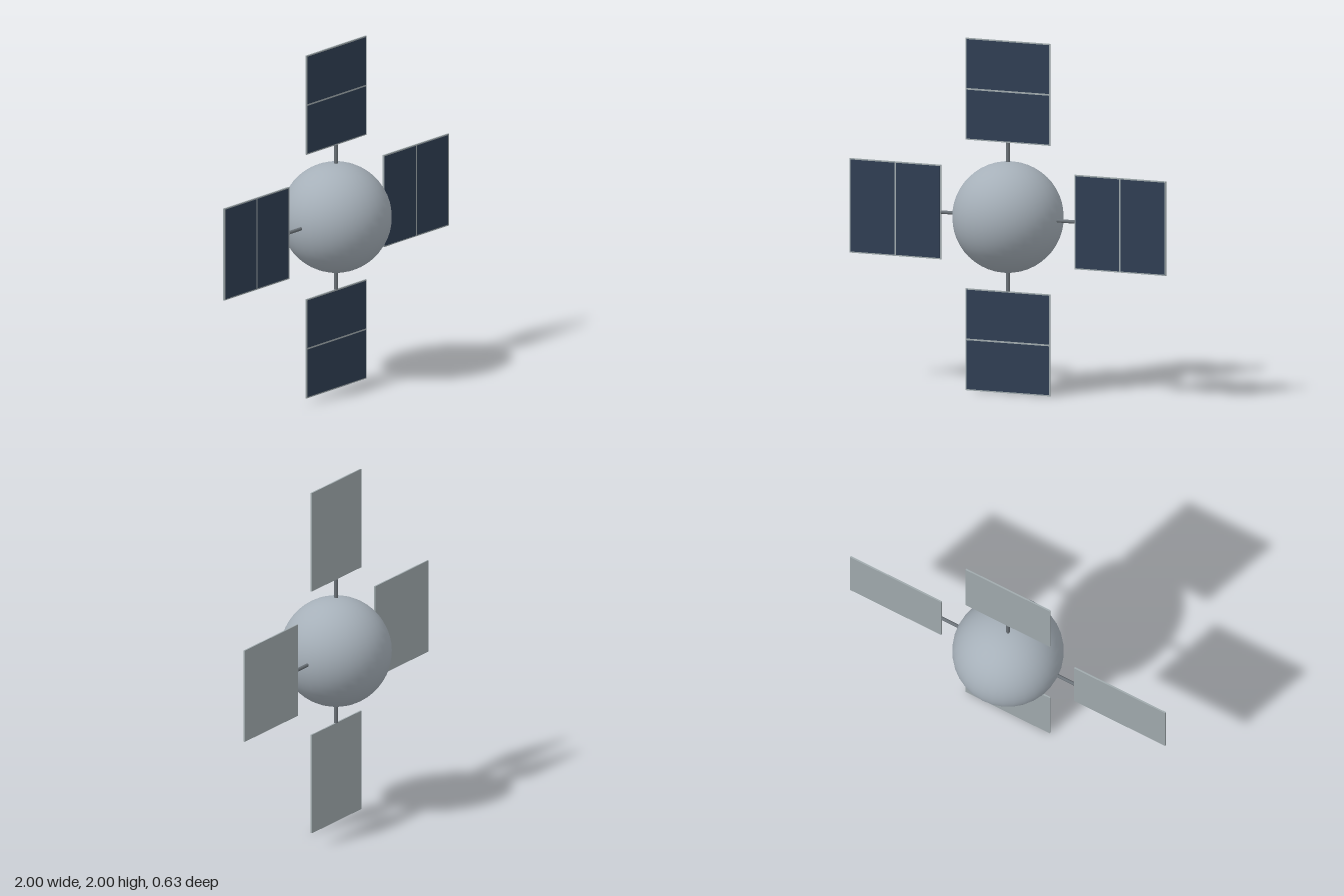
import * as THREE from 'three';

function material(name, color) {
  const m = new THREE.MeshStandardMaterial({ color });
  m.name = name;
  return m;
}

export function createModel() {
  const bodyGrey = material('body grey', 0xa6b0b9);
  const frameGrey = material('frame grey', 0xa0aaad);
  const cellBlue = material('cell blue', 0x2f3e53);
  const rodGrey = material('rod grey', 0x6b7278);

  const model = new THREE.Group();
  model.name = 'satellite';

  const add = (parent, name, geometry, mat, x, y, z) => {
    const mesh = new THREE.Mesh(geometry, mat);
    mesh.name = name;
    mesh.position.set(x, y, z);
    parent.add(mesh);
    return mesh;
  };

  // Round body
  add(model, 'body', new THREE.SphereGeometry(0.314, 32, 24), bodyGrey, 0, 1, 0);

  // Panel dimensions along and across each arm
  const inner = 0.422, outer = 1, width = 0.536, thickness = 0.009;
  const border = 0.007, divider = 0.01;
  const length = outer - inner, middle = (inner + outer) / 2;
  const cellLength = (length - 2 * border - divider) / 2;

  const rodGeometry = new THREE.CylinderGeometry(0.01, 0.01, inner - 0.28, 12);
  const frameGeometry = new THREE.BoxGeometry(width, length, thickness);
  const cellGeometry = new THREE.BoxGeometry(width - 2 * border, cellLength, 0.002);

  // Four arms, each built pointing up and then turned around the body
  ['topArm', 'rightArm', 'bottomArm', 'leftArm'].forEach((name, i) => {
    const arm = new THREE.Group();
    arm.name = name;
    arm.position.y = 1;
    arm.rotation.z = i * Math.PI / 2;
    add(arm, 'rod', rodGeometry, rodGrey, 0, (inner + 0.28) / 2, 0);
    add(arm, 'panelFrame', frameGeometry, frameGrey, 0, middle, 0);
    for (const side of [-1, 1]) {
      add(arm, 'solarCell', cellGeometry, cellBlue,
        0, middle + side * (cellLength + divider) / 2, thickness / 2);
    }
    model.add(arm);
  });

  return model;
}
